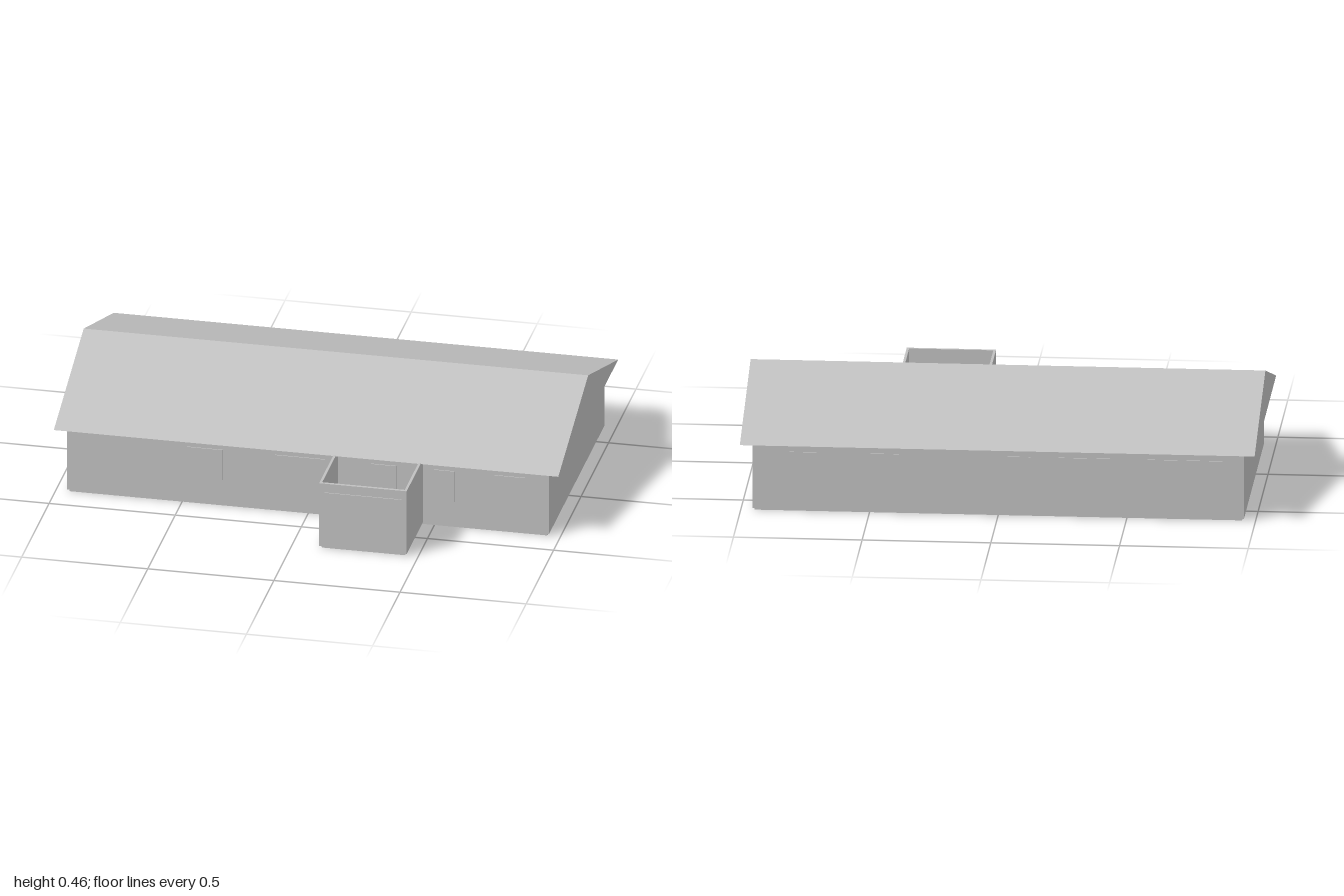
import * as THREE from 'three';

export function createModel() {
  const house = new THREE.Group();
  house.name = 'house';
  const grey = new THREE.MeshStandardMaterial({ color: 0xc0c0c0 });
  grey.name = 'plain grey';

  // Box given by its lower and upper limits on each axis
  function box(name, x0, x1, y0, y1, z0, z1) {
    const mesh = new THREE.Mesh(new THREE.BoxGeometry(x1 - x0, y1 - y0, z1 - z0), grey);
    mesh.position.set((x0 + x1) / 2, (y0 + y1) / 2, (z0 + z1) / 2);
    mesh.name = name;
    house.add(mesh);
  }

  const floorY = 0.008, eaveY = 0.277;
  const front = 0.378, back = -0.633, porchFront = 0.673, proud = 0.004;

  // Floor slabs, slightly inset from the walls
  box('floorSlab', -0.947, 0.947, 0, floorY, back + 0.008, front - 0.004);
  box('porchFloor', 0.118, 0.447, 0, floorY + 0.004, front - 0.004, porchFront - 0.006);

  // Main walls
  box('mainWalls', -0.955, 0.955, floorY, eaveY, back, front);

  // Porch walls, open at the top
  box('porchLeftWall', 0.445, 0.455, floorY, eaveY, front, porchFront);
  box('porchRightWall', 0.108, 0.118, floorY, eaveY, front, porchFront);
  box('porchFrontWall', 0.118, 0.445, floorY, eaveY, porchFront - 0.012, porchFront);

  // Gable roof: a closed prism along x
  const profile = new THREE.Shape([
    new THREE.Vector2(-0.415, 0.275),
    new THREE.Vector2(0.677, 0.275),
    new THREE.Vector2(0.13, 0.459),
  ]);
  const roofGeometry = new THREE.ExtrudeGeometry(profile, { depth: 2, bevelEnabled: false });
  roofGeometry.rotateY(Math.PI / 2).translate(-1, 0, 0);
  const roof = new THREE.Mesh(roofGeometry, grey);
  roof.name = 'gableRoof';
  house.add(roof);

  // Windows as thin plates on the front and back walls
  const sill = 0.11, head = 0.24;
  for (const [x0, x1] of [[-0.48, -0.34], [-0.13, 0.07], [0.5, 0.58], [0.74, 0.86]])
    box('frontWindow', x0, x1, sill, head, front, front + proud);
  for (const [x0, x1] of [[0.68, 0.81], [0.385, 0.513], [-0.46, -0.235]])
    box('backWindow', x0, x1, sill, head, back - proud, back);
  box('porchWindow', 0.13, 0.435, sill, head, porchFront, porchFront + proud);

  // Doors
  for (const [x0, x1] of [[-0.126, -0.037], [-0.885, -0.58]])
    box('backDoor', x0, x1, 0.012, head, back - proud, back);
  box('porchDoor', 0.23, 0.33, 0.012, sill, porchFront, porchFront + proud);
  box('innerDoor', 0.25, 0.35, 0.012, head, front, front + proud);

  return house;
}
